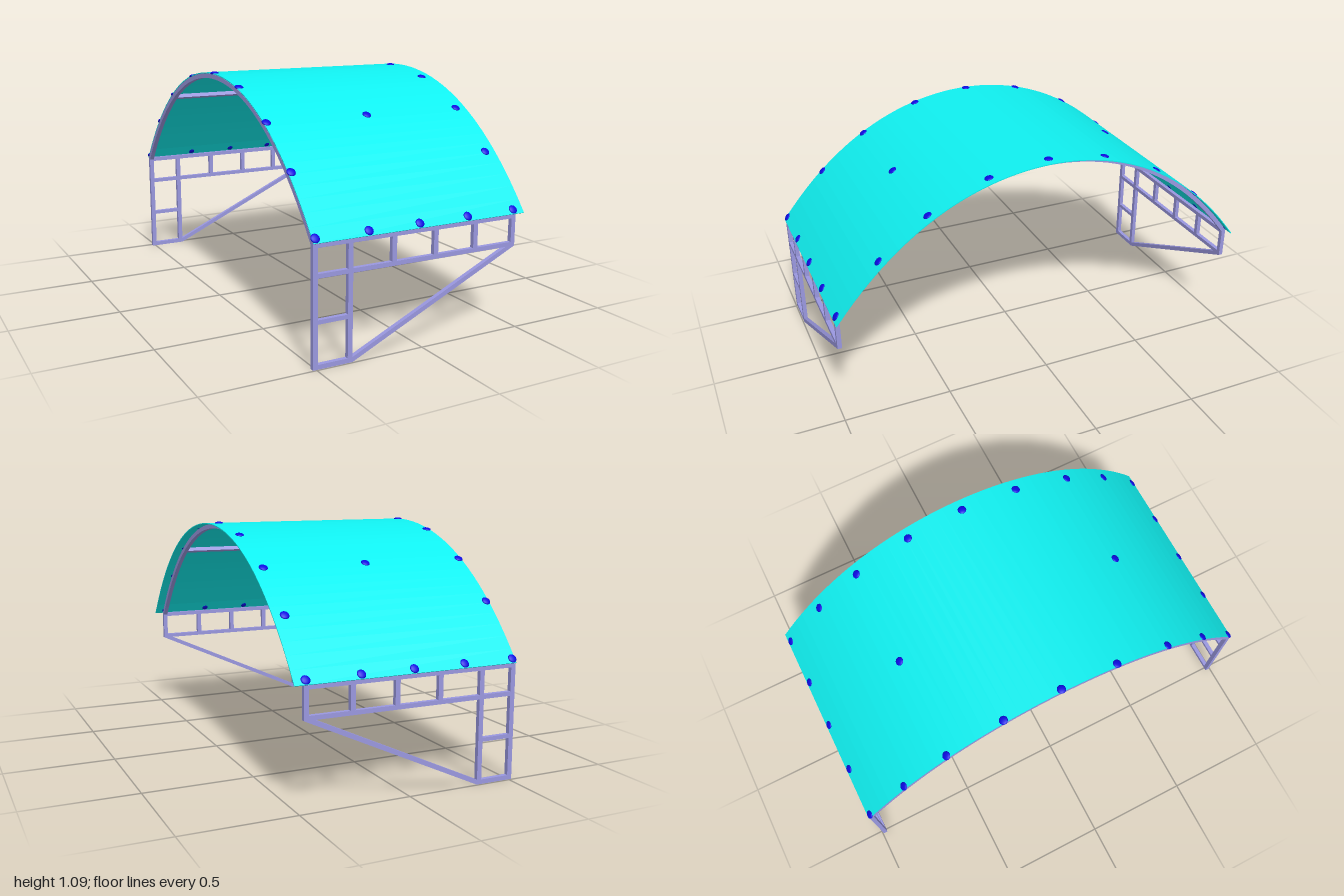
import * as THREE from 'three';

const steel = new THREE.MeshStandardMaterial({ color: 0x9a98e0 });
const plastic = new THREE.MeshStandardMaterial({ color: 0x10f0f0, side: THREE.DoubleSide });
const capBlue = new THREE.MeshStandardMaterial({ color: 0x0a0ae0 });

// Roof curve: height and slope angle at depth z
const roofY = z => 1.085 - 0.471 * z * z - 0.094 * z ** 4;
const tilt = z => Math.atan(0.942 * z + 0.376 * z ** 3);
const roofPoint = (z, drop) => new THREE.Vector2(
  z - drop * Math.sin(tilt(z)), roofY(z) - drop * Math.cos(tilt(z)));

// Curved strip following the roof between two depths below its surface
function roofStrip(name, x0, x1, drop0, drop1, material) {
  const n = 48, outer = [], inner = [];
  for (let i = 0; i <= n; i++) {
    const z = -1 + 2 * i / n;
    outer.push(roofPoint(z, drop0));
    inner.unshift(roofPoint(z, drop1));
  }
  const geo = new THREE.ExtrudeGeometry(new THREE.Shape([...outer, ...inner]),
    { depth: x1 - x0, bevelEnabled: false });
  geo.rotateY(Math.PI / 2).translate(x0, 0, 0);
  const mesh = new THREE.Mesh(geo, material);
  mesh.name = name;
  return mesh;
}

// Side frame: flat truss of square bars, given by x and y limits
function sideFrame(name, z) {
  const g = new THREE.Group();
  g.name = name;
  const bar = (part, x0, x1, y0, y1) => {
    const m = new THREE.Mesh(new THREE.BoxGeometry(x1 - x0, y1 - y0, 0.02), steel);
    m.position.set((x0 + x1) / 2, (y0 + y1) / 2, 0);
    m.name = part;
    g.add(m);
  };
  bar('outerPost', -0.515, -0.493, 0, 0.52);
  bar('innerPost', -0.357, -0.335, 0.02, 0.5);
  bar('endPost', 0.457, 0.478, 0.395, 0.5);
  bar('topRail', -0.493, 0.478, 0.5, 0.52);
  bar('lowerRail', -0.493, 0.478, 0.376, 0.395);
  bar('footRail', -0.493, -0.335, 0, 0.02);
  bar('rung', -0.493, -0.357, 0.188, 0.206);
  for (const x of [-0.142, 0.062, 0.265]) bar('strut', x - 0.011, x + 0.011, 0.395, 0.5);
  // Diagonal brace with ends cut to meet the rails
  const brace = new THREE.Shape([[-0.335, 0], [0.478, 0.376], [0.43, 0.376], [-0.335, 0.022]]
    .map(p => new THREE.Vector2(...p)));
  const m = new THREE.Mesh(new THREE.ExtrudeGeometry(brace, { depth: 0.02, bevelEnabled: false }), steel);
  m.position.z = -0.01;
  m.name = 'diagonalBrace';
  g.add(m);
  g.position.z = z;
  return g;
}

export function createModel() {
  const model = new THREE.Group();
  model.name = 'archedCanopy';

  model.add(roofStrip('roofSheet', -0.515, 0.52, 0, 0.004, plastic));
  model.add(roofStrip('rightArch', -0.515, -0.493, 0.005, 0.026, steel));
  model.add(roofStrip('leftArch', 0.457, 0.478, 0.005, 0.026, steel));
  model.add(sideFrame('frontFrame', 0.985), sideFrame('backFrame', -0.985));

  // Purlins joining the two arches
  for (const z of [-0.56, 0, 0.56]) {
    const p = roofPoint(z, 0.0155);
    const m = new THREE.Mesh(new THREE.BoxGeometry(0.95, 0.02, 0.02), steel);
    m.position.set(-0.018, p.y, p.x);
    m.rotation.x = tilt(z);
    m.name = 'purlin';
    model.add(m);
  }

  // Flattened fastener caps on the roof
  const capGeo = new THREE.SphereGeometry(0.02, 20, 12).scale(1, 0.35, 1);
  const cap = (x, z) => {
    const m = new THREE.Mesh(capGeo, capBlue);
    m.position.set(x, roofY(z), z);
    m.rotation.x = tilt(z);
    m.name = 'fastenerCap';
    model.add(m);
  };
  for (const z of [-0.785, -0.56, -0.28, 0, 0.28, 0.56, 0.785]) {
    cap(-0.502, z);
    cap(0.468, z);
  }
  for (const s of [-1, 1]) {
    for (let i = 0; i < 5; i++) cap(-0.502 + i * 0.2425, s * 0.987);
    cap(-0.015, s * 0.56);
  }
  return model;
}
